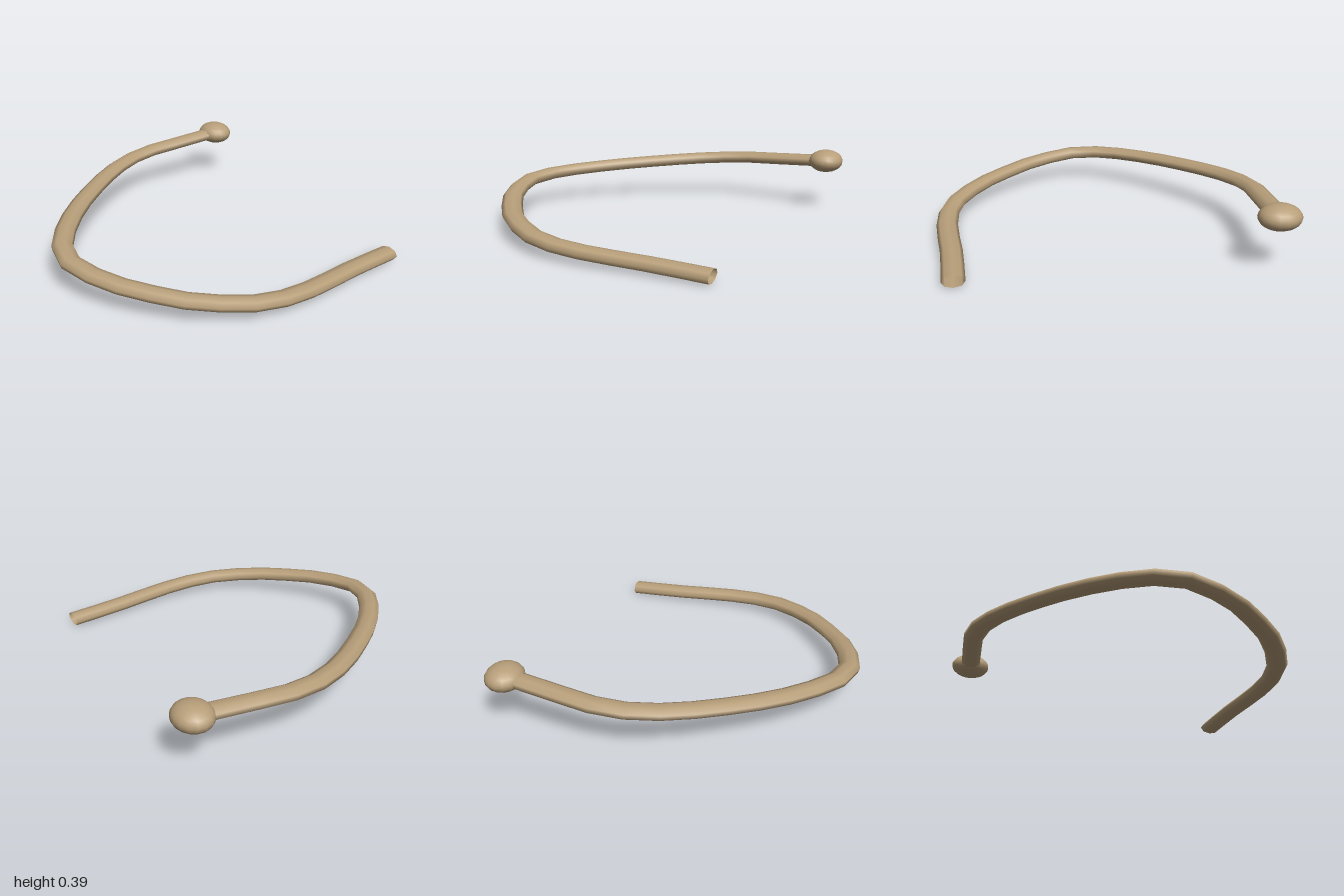
import * as THREE from 'three';

const FLATTEN = 0.6; // the whole tail is squashed vertically

export function createModel() {
  const group = new THREE.Group();
  group.name = 'curledTail';
  const material = new THREE.MeshStandardMaterial({ color: 0xb89f7a, side: THREE.DoubleSide });

  // Centre line of the hook, from the open front end round to the tip
  const path = [
    [0.7, 0.041, 0.91], [0.36, 0.054, 0.897], [0, 0.068, 0.9], [-0.19, 0.077, 0.88],
    [-0.36, 0.089, 0.825], [-0.51, 0.104, 0.725], [-0.645, 0.119, 0.6], [-0.75, 0.136, 0.455],
    [-0.845, 0.154, 0.3], [-0.91, 0.172, 0.125], [-0.935, 0.19, -0.055], [-0.87, 0.204, -0.235],
    [-0.755, 0.215, -0.37], [-0.625, 0.224, -0.49], [-0.47, 0.235, -0.605], [-0.165, 0.255, -0.785],
    [0.005, 0.266, -0.86], [0.175, 0.277, -0.905], [0.35, 0.288, -0.91], [0.53, 0.298, -0.88],
    [0.88, 0.32, -0.82],
  ].map(([x, y, z]) => new THREE.Vector3(x, y / FLATTEN, z));

  // Open tube
  const tube = new THREE.TubeGeometry(new THREE.CatmullRomCurve3(path), 24, 0.064, 8, false);
  tube.scale(1, FLATTEN, 1);
  const shaft = new THREE.Mesh(tube, material);
  shaft.name = 'tailShaft';
  group.add(shaft);

  // Rounded knob on the tip
  const ball = new THREE.SphereGeometry(1, 16, 12);
  ball.scale(0.11, 0.073, 0.123);
  const knob = new THREE.Mesh(ball, material);
  knob.name = 'tailKnob';
  knob.position.set(0.885, 0.32, -0.82);
  group.add(knob);

  return group;
}
